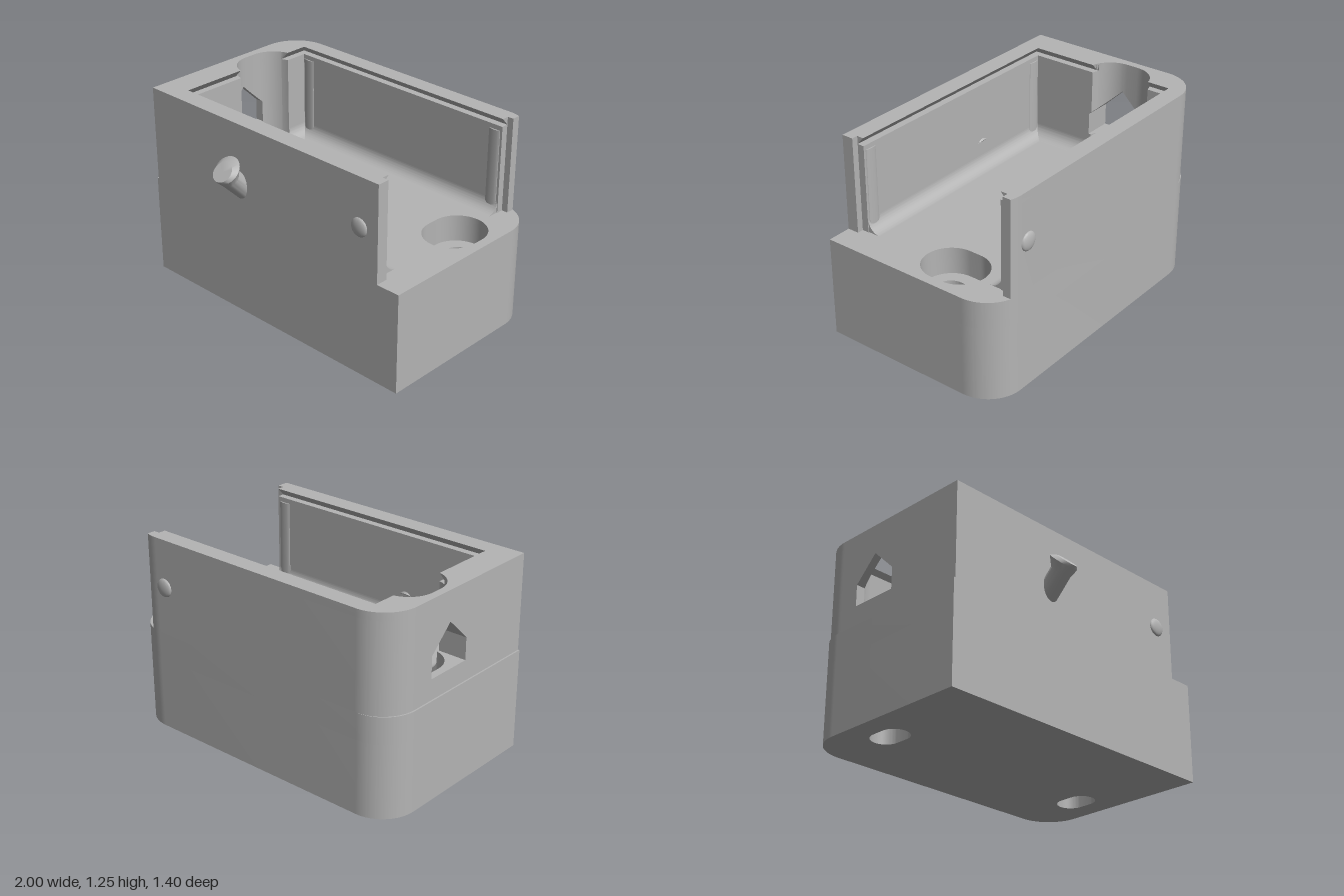
import * as THREE from 'three';
import { mergeGeometries, toCreasedNormals } from 'three/addons/utils/BufferGeometryUtils.js';

const FLOOR = 0.64, LEDGE = 1.2, TOP = 1.25;
const FRONT = 0.53, BACK = -0.68;
const IN_F = 0.41, IN_B = -0.57, IN_L = -0.805, GROOVE = 0.045;
const SLOT_Z = -0.22, WELL_R = 0.17, WELL_S = 0.037;
const GAP_F = 0.01, GAP_B = -0.435;

// Extrude a plan shape (x, -z) upwards between two heights
function slab(shape, y0, y1) {
  const g = new THREE.ExtrudeGeometry(shape, { depth: y1 - y0, bevelEnabled: false, curveSegments: 20 });
  return g.rotateX(-Math.PI / 2).translate(0, y0, 0);
}

// Oblong hole running along z
function oblong(x, r, s) {
  const p = new THREE.Path();
  p.absarc(x, -SLOT_Z + s, r, 0, Math.PI, false);
  p.absarc(x, -SLOT_Z - s, r, Math.PI, 2 * Math.PI, false);
  p.closePath();
  return p;
}

// Base outline with rounded back corners
function baseShape(r, s) {
  const R = 0.23, sh = new THREE.Shape();
  sh.moveTo(-1, -FRONT);
  sh.lineTo(1, -FRONT);
  sh.absarc(1 - R, -BACK - R, R, 0, Math.PI / 2, false);
  sh.absarc(-1 + R, -BACK - R, R, Math.PI / 2, Math.PI, false);
  sh.closePath();
  sh.holes.push(oblong(-0.77, r, s), oblong(0.77, r, s));
  return sh;
}

// Front wall with its stepped end and part of the left wall
function frontWallShape() {
  return new THREE.Shape([
    [-0.99, FRONT], [0.845, FRONT], [0.845, IN_F + GROOVE], [0.805, IN_F + GROOVE],
    [0.805, IN_F], [IN_L, IN_F], [IN_L, GAP_F], [-0.99, GAP_F],
  ].map(([x, z]) => new THREE.Vector2(x, -z)));
}

// Back wall with rounded corner and part of the left wall
function backWallShape() {
  const R = 0.23, end = Math.acos((0.845 - 0.77) / R), sh = new THREE.Shape();
  sh.moveTo(-0.99, -GAP_B);
  sh.lineTo(IN_L, -GAP_B);
  sh.lineTo(IN_L, -IN_B);
  sh.lineTo(0.805, -IN_B);
  sh.lineTo(0.805, -IN_B + GROOVE);
  sh.lineTo(0.845, -IN_B + GROOVE);
  sh.absarc(0.77, -BACK - R, R, end, Math.PI / 2, false);
  sh.absarc(-0.99 + R, -BACK - R, R, Math.PI / 2, Math.PI, false);
  sh.closePath();
  return sh;
}

// Lip whose lower inner edge is pushed outwards to form a sliding-lid groove
function lip(shape) {
  const g = slab(shape, LEDGE, TOP), p = g.attributes.position;
  const near = (a, b) => Math.abs(a - b) < 1e-4;
  for (let i = 0; i < p.count; i++) {
    if (!near(p.getY(i), LEDGE)) continue;
    if (near(p.getZ(i), IN_F)) p.setZ(i, IN_F + GROOVE);
    if (near(p.getZ(i), IN_B)) p.setZ(i, IN_B - GROOVE);
    if (near(p.getX(i), IN_L)) p.setX(i, IN_L - GROOVE);
  }
  return g;
}

// Inner face of the left wall, scooped where the screw well passes
function innerX(z) {
  const d = Math.max(Math.abs(z - SLOT_Z) - WELL_S, 0);
  return d >= WELL_R ? IN_L : Math.min(IN_L, -0.77 - Math.sqrt(WELL_R ** 2 - d * d));
}

// One vertical strip of the left wall between two z positions
function strip(za, zb, lo, hi, inLow = innerX) {
  const g = new THREE.BoxGeometry(1, 1, 1), p = g.attributes.position;
  for (let i = 0; i < p.count; i++) {
    const z = p.getZ(i) > 0 ? zb : za, up = p.getY(i) > 0;
    const x = p.getX(i) < 0 ? -0.99 : (up ? innerX : inLow)(z);
    p.setXYZ(i, x, up ? hi(z) : lo(z), z);
  }
  return g;
}

// Scooped left wall with a house-shaped window
function scoopedWall() {
  const zs = [GAP_B, -0.31, -0.155, 0, GAP_F];
  const edge = Math.acos((-0.77 - IN_L) / WELL_R);
  for (let i = 0; i <= 10; i++) {
    const d = WELL_S + WELL_R * Math.sin(edge * i / 10);
    zs.push(SLOT_Z - d, SLOT_Z + d);
  }
  zs.sort((a, b) => a - b);
  const at = y => () => y;
  const roof = z => 1.06 - Math.abs(z + 0.155) * 0.15 / 0.155;
  const grooved = z => Math.min(innerX(z), IN_L - GROOVE);
  const parts = [];
  for (let i = 0; i + 1 < zs.length; i++) {
    const a = zs[i], b = zs[i + 1], m = (a + b) / 2;
    if (b - a < 1e-5) continue;
    if (m > -0.31 && m < 0) {
      parts.push(strip(a, b, at(FLOOR), at(0.77)), strip(a, b, roof, at(LEDGE)));
    } else parts.push(strip(a, b, at(FLOOR), at(LEDGE)));
    parts.push(strip(a, b, at(LEDGE), at(TOP), grooved));
  }
  return mergeGeometries(parts);
}

// Concave fillet running along +z, with its corner on the origin
function fillet(length) {
  const r = 0.08, sh = new THREE.Shape();
  sh.moveTo(0, 0);
  sh.lineTo(r, 0);
  sh.absarc(r, r, r, -Math.PI / 2, -Math.PI, true);
  sh.closePath();
  return new THREE.ExtrudeGeometry(sh, { depth: length, bevelEnabled: false, curveSegments: 10 });
}

// Slanted peg with an off-centre flared head
function pegGeometry() {
  const rings = [[0, 0.066, 0], [-0.022, 0.09, 0.022], [-0.075, 0.064, 0], [-0.3, 0.064, 0]];
  const g = new THREE.CylinderGeometry(1, 1, 3, 32, 3), p = g.attributes.position;
  for (let i = 0; i < p.count; i++) {
    const [h, r, off] = rings[Math.round(1.5 - p.getY(i))];
    p.setXYZ(i, p.getX(i) * r, h, p.getZ(i) * r - off);
  }
  return g.rotateX(Math.PI / 4).translate(-0.24, 0.99, 0.657);
}

export function createModel() {
  const model = new THREE.Group();
  model.name = 'enclosure';
  const grey = new THREE.MeshStandardMaterial({ color: 0xb4b4b4 });
  grey.name = 'grey plastic';
  const add = (name, geo) => {
    const mesh = new THREE.Mesh(toCreasedNormals(geo, 0.5), grey);
    mesh.name = name;
    model.add(mesh);
    return mesh;
  };

  // Solid base with screw slots and wider wells above them
  add('baseLower', slab(baseShape(0.088, 0.042), 0, 0.47));
  add('baseUpper', slab(baseShape(WELL_R, WELL_S), 0.47, FLOOR));

  // Walls and grooved lip
  for (const [name, shape] of [['frontWall', frontWallShape()], ['backWall', backWallShape()]]) {
    add(name, slab(shape, FLOOR, LEDGE));
    add(name + 'Lip', lip(shape));
  }
  add('leftWallWithWindow', scoopedWall());

  // Fillets round the cavity floor
  const len = 0.8 - IN_L;
  add('frontFillet', fillet(len).rotateY(Math.PI / 2).translate(IN_L, FLOOR, IN_F));
  add('backFillet', fillet(len).rotateY(-Math.PI / 2).translate(0.8, FLOOR, IN_B));
  add('leftFrontFillet', fillet(IN_F + 0.015).translate(IN_L, FLOOR, -0.015));
  add('leftBackFillet', fillet(-0.425 - IN_B).translate(IN_L, FLOOR, IN_B));

  // Shallow ribs inside the walls and round bumps outside
  for (const [side, inner, outer] of [['front', IN_F, FRONT], ['back', IN_B, BACK]]) {
    for (const x of [-0.76, 0.75]) {
      const rib = new THREE.CylinderGeometry(1, 1, 0.5, 20).scale(0.04, 1, 0.009);
      add(side + 'Rib', rib.translate(x, 0.92, inner));
    }
    const bump = new THREE.SphereGeometry(1, 28, 16).scale(0.058, 0.058, 0.02);
    add(side + 'Bump', bump.translate(0.71, 0.945, outer));
  }

  add('peg', pegGeometry());
  return model;
}
